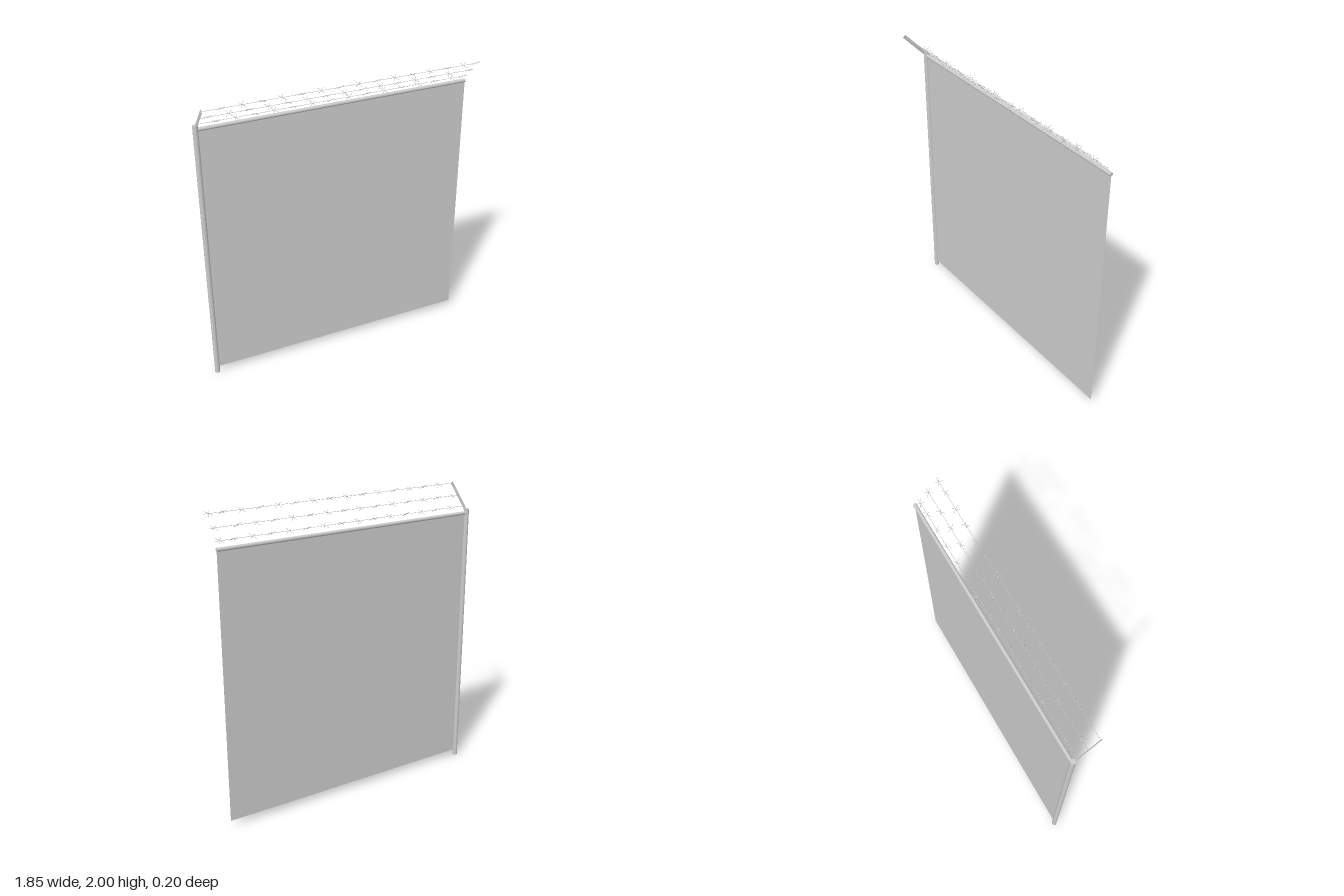
import * as THREE from 'three';

export function createModel() {
  const group = new THREE.Group();
  group.name = 'fencePanel';
  const mat = new THREE.MeshStandardMaterial({ color: 0xcccccc });
  const thin = new THREE.MeshStandardMaterial({ color: 0xcccccc, side: THREE.DoubleSide });

  const LEFT = -0.91, RIGHT = 0.92, Z = -0.085;
  const width = RIGHT - LEFT, midX = (LEFT + RIGHT) / 2;

  const add = (name, geometry, material, x, y, z, parent = group) => {
    const mesh = new THREE.Mesh(geometry, material);
    mesh.name = name;
    mesh.position.set(x, y, z);
    parent.add(mesh);
    return mesh;
  };
  // Cylinder lying along x
  const bar = (radius, length, sides) =>
    new THREE.CylinderGeometry(radius, radius, length, sides).rotateZ(Math.PI / 2);

  // Post, top rail and thin mesh sheet
  add('post', new THREE.CylinderGeometry(0.017, 0.017, 1.835, 16), mat, LEFT, 0.9175, Z);
  add('topRail', bar(0.012, width, 12), mat, midX, 1.807, Z);
  add('meshSheet', new THREE.PlaneGeometry(width, 1.765), thin, midX, 0.9225, Z);

  // Flat arm leaning forward from the post top
  const from = new THREE.Vector2(-0.085, 1.815), to = new THREE.Vector2(0.078, 1.987);
  const run = to.clone().sub(from);
  const arm = add('wireArm', new THREE.BoxGeometry(0.002, 0.024, run.length()), mat,
    LEFT, (from.y + to.y) / 2, (from.x + to.x) / 2);
  arm.rotation.x = -Math.atan2(run.y, run.x);

  // Three wires with barbs; the middle row is staggered
  const spikeGeometry = bar(0.0014, 0.056, 5);
  const rows = [
    { y: 1.85, z: -0.06, start: -0.79, last: 0.885 },
    { y: 1.912, z: 0.003, start: -0.85, last: 0.89 },
    { y: 1.982, z: 0.073, start: -0.79, last: 0.885 },
  ];
  rows.forEach(({ y, z, start, last }, r) => {
    const strand = new THREE.Group();
    strand.name = 'barbedWire' + (r + 1);
    strand.position.set(0, y, z);
    group.add(strand);
    add('wire', bar(0.0013, width, 5), mat, midX, 0, 0, strand);

    const places = Array.from({ length: 14 }, (_, i) => start + i * 0.1222);
    places.push(last);
    places.forEach((x, i) => {
      const barb = new THREE.Group();
      barb.name = 'barb';
      barb.position.x = x;
      barb.rotation.y = 0.35 * Math.sin(i * 2.4 + (r % 2) * 1.3);
      strand.add(barb);
      // Two crossing spikes, tilted against each other
      for (const side of [-1, 1]) {
        const spike = add('spike', spikeGeometry, mat, 0, 0, 0, barb);
        spike.rotation.set(0, side * 0.75, 0.45 * (i % 2 ? side : -side));
      }
    });
  });
  return group;
}
